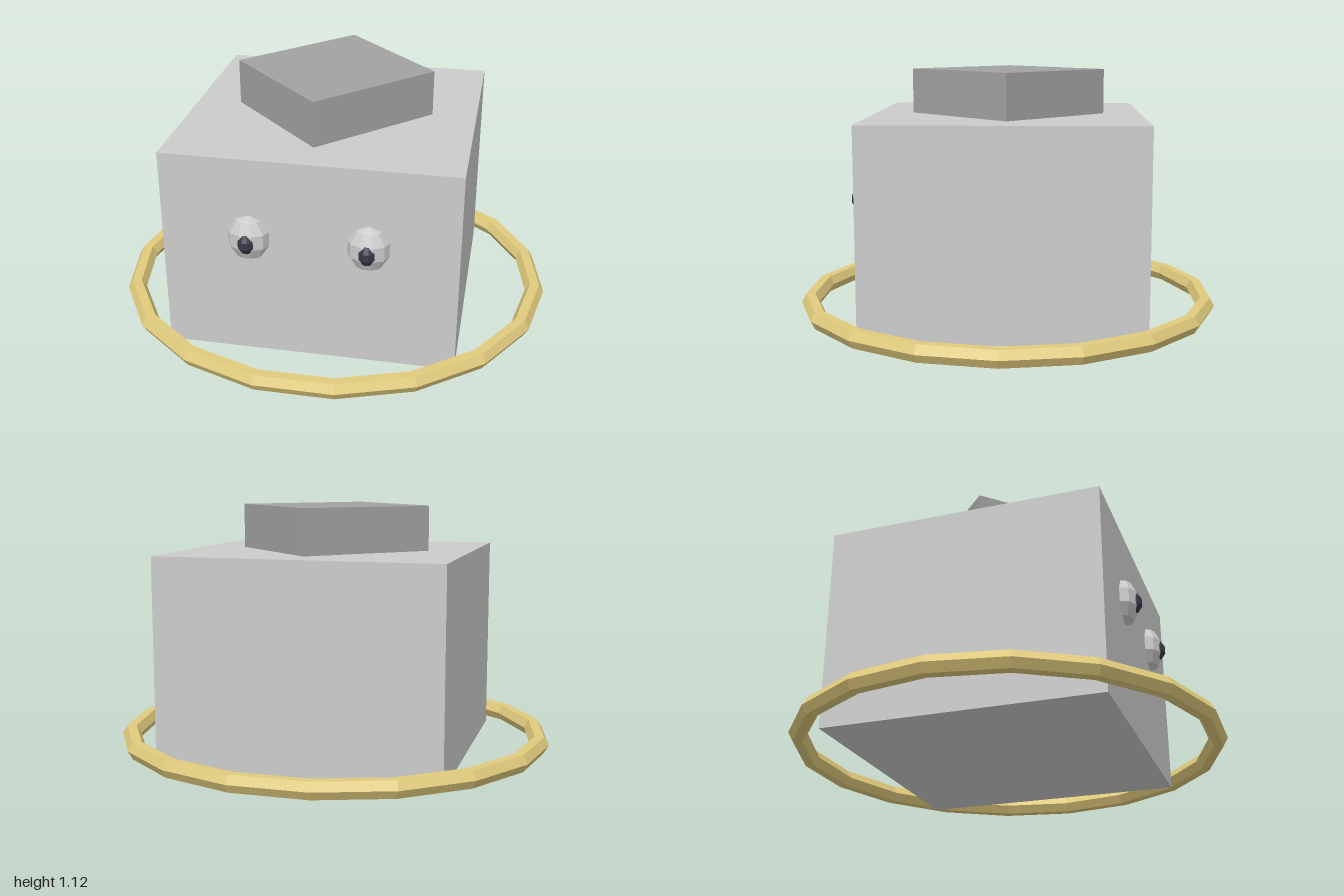
import * as THREE from 'three';

const material = (color) => new THREE.MeshStandardMaterial({ color, flatShading: true });

function addPart(parent, name, geometry, mat, x, y, z) {
  const mesh = new THREE.Mesh(geometry, mat);
  mesh.name = name;
  mesh.position.set(x, y, z);
  parent.add(mesh);
  return mesh;
}

export function createModel() {
  const model = new THREE.Group();
  const grey = material(0xcccccc);
  const darkGrey = material(0xa2a2a2);
  const gold = material(0xe0ca7c);
  const dark = material(0x3a3848);

  // Block body, and a half-size block on top turned by an eighth
  const width = 1.268, height = 0.917, depth = 1.216;
  addPart(model, 'body', new THREE.BoxGeometry(width, height, depth), grey, 0, height / 2, 0);
  const topBlock = addPart(model, 'topBlock',
    new THREE.BoxGeometry(width / 2, height / 2, depth / 2), darkGrey, 0, 1.12 - height / 4, 0);
  topBlock.rotation.y = Math.PI / 4;

  // Six-sided hoop around the base, slightly shorter front to back
  const hoop = new THREE.TorusGeometry(0.957, 0.043, 6, 18);
  hoop.rotateX(-Math.PI / 2);
  hoop.scale(1, 1, 0.96);
  addPart(model, 'hoop', hoop, gold, 0, 0.056, 0);

  // Faceted eyes half sunk into the front, each with a pupil
  const ball = new THREE.SphereGeometry(1, 10, 5);
  for (const side of [1, -1]) {
    const eye = new THREE.Group();
    eye.name = side > 0 ? 'leftEye' : 'rightEye';
    eye.position.set(side * 0.255, 0.56, depth / 2);
    addPart(eye, 'eyeball', ball, grey, 0, 0, 0).scale.set(0.092, 0.103, 0.066);
    addPart(eye, 'pupil', ball, dark, 0, -0.007, 0.035).scale.set(0.041, 0.052, 0.045);
    model.add(eye);
  }
  return model;
}
